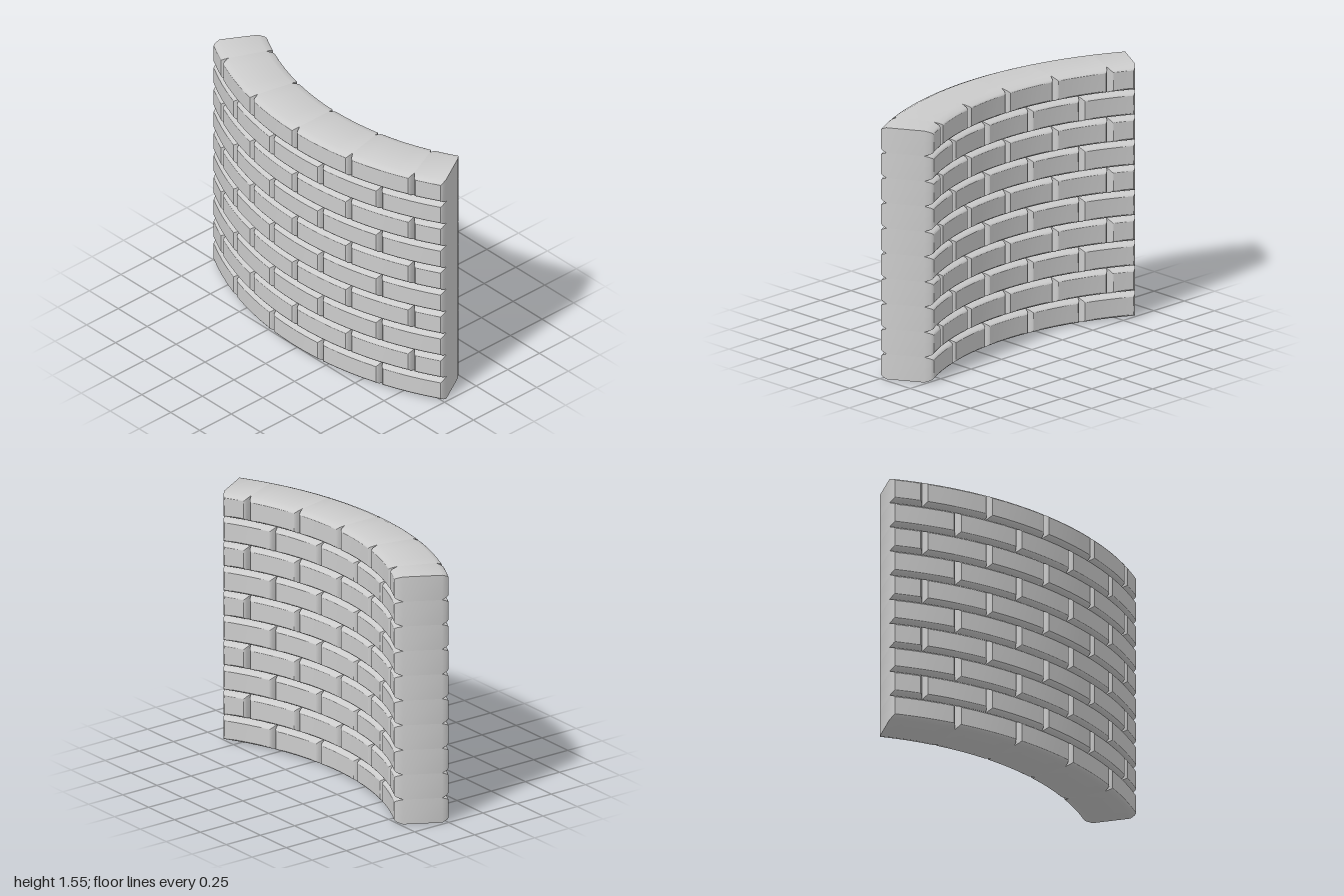
import * as THREE from 'three';
import { toCreasedNormals } from 'three/addons/utils/BufferGeometryUtils.js';

const ROWS = 10, ROW_HEIGHT = 0.155;
const CENTRE_X = 1.73;            // axis of the wall's curve
const HALF_ARC = Math.PI / 6;     // the wall spans 60 degrees
const PITCH = THREE.MathUtils.degToRad(12.1);

// Brick section through the wall: [radius, inset of the edges]
const LAYERS = [
  [1.68, 0.023], [1.684, 0.017], [1.694, 0.011], [1.73, 0],
  [1.96, 0], [1.987, 0.011], [1.996, 0.017], [2.0, 0.023],
];

// Curved brick between two angles, its edges bevelled on both wall faces
function brickGeometry(start, end, bottom) {
  const segments = Math.max(2, Math.round((end - start) / PITCH * 4));
  const geometry = new THREE.BoxGeometry(1, 1, 1, segments, 1, LAYERS.length - 1);
  const p = geometry.attributes.position;
  const mid = (start + end) / 2;
  for (let i = 0; i < p.count; i++) {
    const layer = Math.round((p.getZ(i) + 0.5) * (LAYERS.length - 1));
    const [radius, inset] = LAYERS[layer];
    const angle = mid + p.getX(i) * (end - start - 2 * inset / radius);
    const y = bottom + ROW_HEIGHT / 2 + p.getY(i) * (ROW_HEIGHT - 2 * inset);
    p.setXYZ(i, CENTRE_X - radius * Math.cos(angle), y, radius * Math.sin(angle));
  }
  geometry.deleteAttribute('uv');
  return toCreasedNormals(geometry, 0.45);
}

export function createModel() {
  const wall = new THREE.Group();
  wall.name = 'curvedBrickWall';
  const material = new THREE.MeshStandardMaterial({ color: 0xcccccc });

  for (let row = 0; row < ROWS; row++) {
    const course = new THREE.Group();
    course.name = `brickCourse${row + 1}`;
    // Joints shift by half a brick on every other course
    const joints = row % 2 ? [-2, -1, 0, 1, 2] : [-1.5, -0.5, 0.5, 1.5];
    const edges = [-HALF_ARC, ...joints.map((j) => j * PITCH), HALF_ARC];
    for (let i = 0; i < edges.length - 1; i++) {
      const brick = new THREE.Mesh(brickGeometry(edges[i], edges[i + 1], row * ROW_HEIGHT), material);
      brick.name = 'brick';
      course.add(brick);
    }
    wall.add(course);
  }
  return wall;
}
